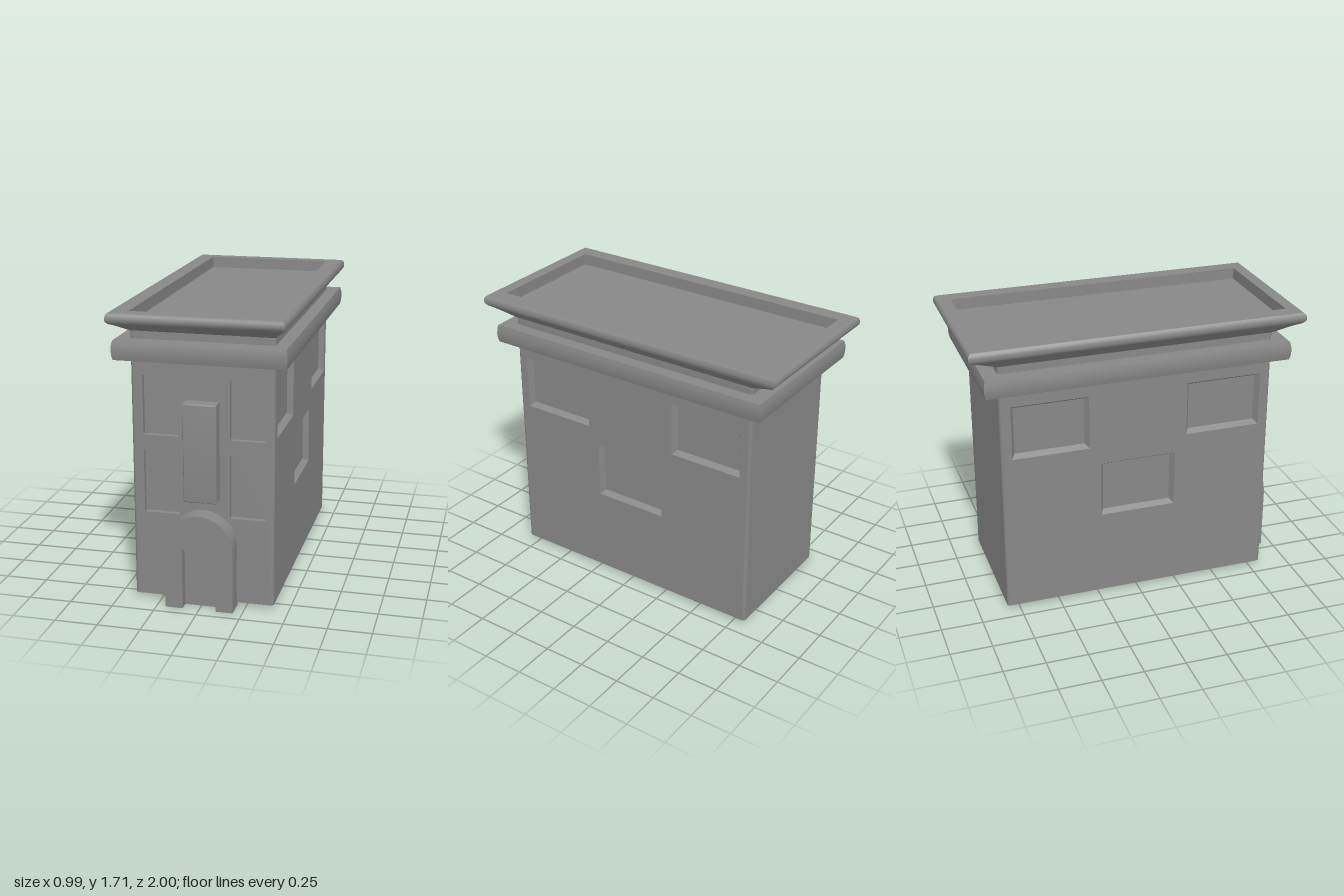
import * as THREE from 'three';
import { toCreasedNormals } from 'three/addons/utils/BufferGeometryUtils.js';

const material = new THREE.MeshStandardMaterial({ color: 0x888888, side: THREE.DoubleSide });

const HX = 0.41, HZ = 0.825;       // half width and half depth of the house
const BASE = 0.02, TOP = 1.6;      // wall heights
const CORNER = 0.02;               // corner rounding

function part(name, geometry, parent) {
  const mesh = new THREE.Mesh(geometry, material);
  mesh.name = name;
  parent.add(mesh);
  return mesh;
}

// Rectangular cross-sections [half x, half z, y] joined in order, the last one optionally filled
function loft(sections, capped = false) {
  const corners = ([x, z, y]) => [[x, y, z], [x, y, -z], [-x, y, -z], [-x, y, z]];
  const positions = [];
  const quad = (a, b, c, d) => positions.push(...a, ...b, ...c, ...a, ...c, ...d);
  for (let i = 0; i < sections.length - 1; i++) {
    const lower = corners(sections[i]), upper = corners(sections[i + 1]);
    for (let k = 0; k < 4; k++) {
      const n = (k + 1) % 4;
      quad(lower[k], lower[n], upper[n], upper[k]);
    }
  }
  if (capped) quad(...corners(sections[sections.length - 1]));
  const geometry = new THREE.BufferGeometry();
  geometry.setAttribute('position', new THREE.Float32BufferAttribute(positions, 3));
  return toCreasedNormals(geometry, 0.7);
}

// Thin wall facing +z with recessed windows given as [x0, x1, y0, y1]
function wall(name, halfWidth, windows, depth, taper) {
  const group = new THREE.Group();
  group.name = name;
  const w = halfWidth - CORNER;
  const shape = new THREE.Shape([[-w, BASE], [w, BASE], [w, TOP], [-w, TOP]].map(p => new THREE.Vector2(...p)));
  for (const [x0, x1, y0, y1] of windows) {
    shape.holes.push(new THREE.Path([[x0, y0], [x0, y1], [x1, y1], [x1, y0]].map(p => new THREE.Vector2(...p))));
    const hw = (x1 - x0) / 2, hh = (y1 - y0) / 2;
    const recess = loft([[hw, hh, 0], [hw - taper, hh - taper, -depth]], true).rotateX(Math.PI / 2);
    part('windowRecess', recess, group).position.set((x0 + x1) / 2, (y0 + y1) / 2, 0);
  }
  part('wallSurface', new THREE.ShapeGeometry(shape), group);
  return group;
}

export function createModel() {
  const house = new THREE.Group();
  house.name = 'house';

  // Front wall with four shallow windows, plain back wall
  const frontWindows = [];
  for (const [x0, x1] of [[-0.343, -0.14], [0.157, 0.36]])
    for (const [y0, y1] of [[0.53, 0.9], [0.99, 1.335]]) frontWindows.push([x0, x1, y0, y1]);
  const front = wall('frontWall', HX, frontWindows, 0.03, 0);
  front.position.z = HZ;
  const back = wall('backWall', HX, [], 0, 0);
  back.position.z = -HZ;
  back.rotation.y = Math.PI;
  house.add(front, back);

  // Side walls with three bevelled windows each
  const sideWindows = [[-0.76, -0.3, 1, 1.33], [0.3, 0.76, 1, 1.33], [-0.23, 0.23, 0.545, 0.89]];
  for (const side of [1, -1]) {
    const sideWall = wall(side > 0 ? 'leftWall' : 'rightWall', HZ, sideWindows, 0.035, 0.021);
    sideWall.position.x = side * HX;
    sideWall.rotation.y = side * Math.PI / 2;
    house.add(sideWall);
  }

  // Rounded wall corners, each a quarter of a tube
  [[1, 1], [1, -1], [-1, -1], [-1, 1]].forEach(([sx, sz], i) => {
    const corner = new THREE.CylinderGeometry(CORNER, CORNER, TOP - BASE, 6, 1, true, i * Math.PI / 2, Math.PI / 2);
    part('wallCorner', corner, house)
      .position.set(sx * (HX - CORNER), (TOP + BASE) / 2, sz * (HZ - CORNER));
  });

  // Slightly bulging band below the roof
  part('corniceBand', loft([
    [HX - 0.01, HZ - 0.015, 1.43], [0.484, 0.909, 1.43], [0.49, 0.915, 1.455], [0.492, 0.917, 1.485],
    [0.49, 0.915, 1.515], [0.484, 0.909, 1.54], [HX - 0.01, HZ - 0.015, 1.54],
  ]), house).position.z = -0.004;

  // Flared roof with a raised rim around a sunken floor
  part('roof', loft([
    [0.41, 0.825, 1.583], [0.43, 0.87, 1.603], [0.455, 0.925, 1.627],
    [0.482, 0.98, 1.648], [0.492, 0.997, 1.663], [0.493, 1, 1.68], [0.489, 0.995, 1.7],
    [0.478, 0.983, 1.71], [0.472, 0.977, 1.71], [0.385, 0.912, 1.71], [0.385, 0.912, 1.64],
  ], true), house);

  // Upright panel above the entrance, with softened edges
  const panel = loft([
    [0.095, 0.285, -0.01], [0.095, 0.285, 0.073], [0.095, 0.285, 0.077],
    [0.092, 0.282, 0.081], [0.088, 0.278, 0.083], [0.084, 0.274, 0.083],
  ], true).rotateX(Math.PI / 2);
  part('frontPanel', panel, house).position.set(0.003, 0.922, HZ);

  // Arched entrance surround
  const arch = new THREE.Shape();
  arch.moveTo(0.197, 0);
  arch.lineTo(0.197, 0.37);
  arch.absarc(0, 0.37, 0.197, 0, Math.PI, false);
  arch.lineTo(-0.197, 0);
  arch.lineTo(-0.097, 0);
  arch.lineTo(-0.097, 0.36);
  arch.lineTo(0.097, 0.36);
  arch.lineTo(0.097, 0);
  arch.closePath();
  const archGeometry = new THREE.ExtrudeGeometry(arch, { depth: 0.12, bevelEnabled: false, curveSegments: 32 });
  part('entranceArch', toCreasedNormals(archGeometry, 0.5), house).position.z = 0.815;

  // Door set back inside the arch
  part('door', new THREE.BoxGeometry(0.194, 0.36, 0.06), house).position.set(0, 0.18, 0.845);

  return house;
}
